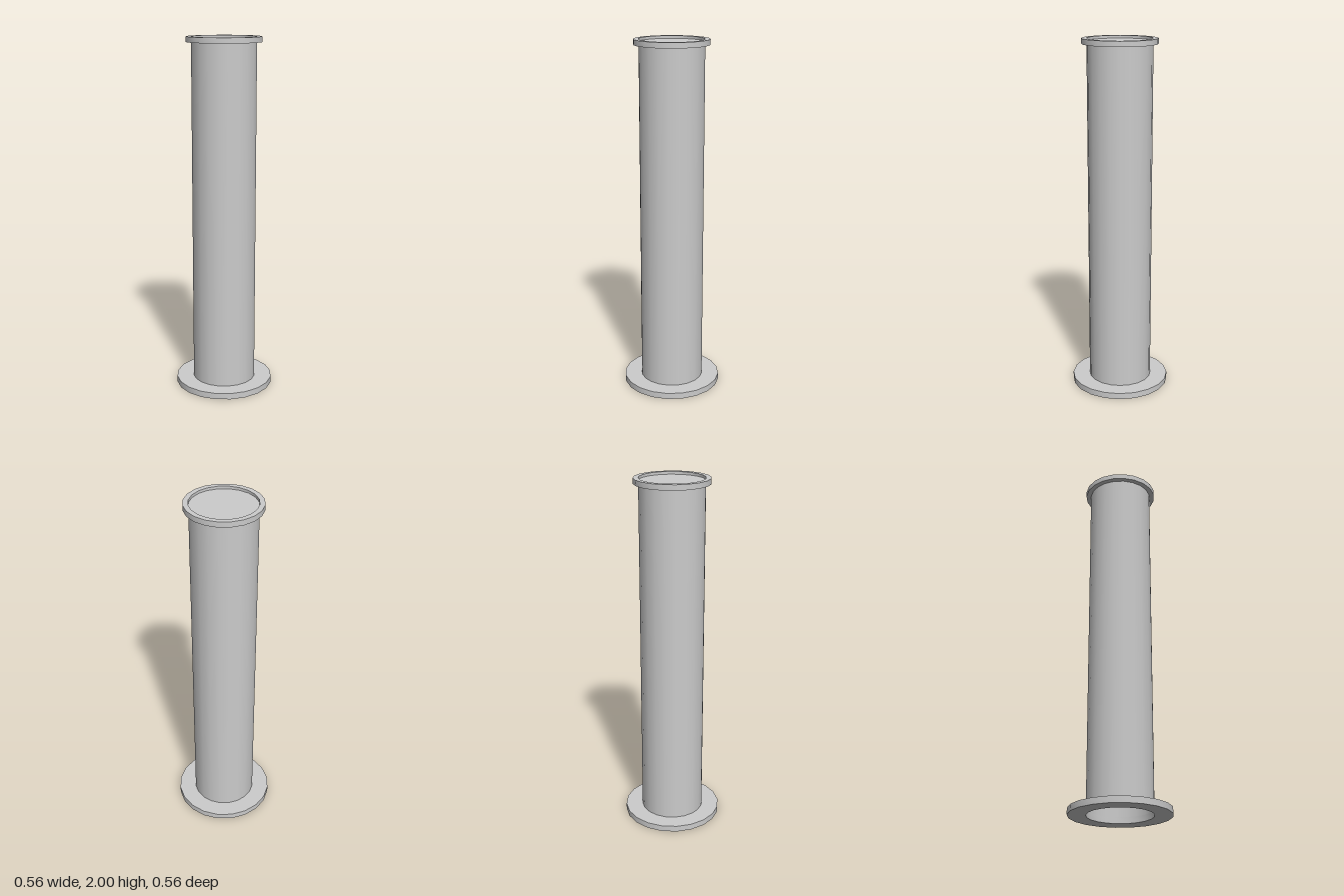
import * as THREE from 'three';
import { toCreasedNormals } from 'three/addons/utils/BufferGeometryUtils.js';

const SIDES = 20;
const BORE = 0.18;
const BASE_TOP = 0.035;
const RIM_BOTTOM = 1.97;
const HEIGHT = 2;

export function createModel() {
  const group = new THREE.Group();
  const material = new THREE.MeshStandardMaterial({ color: 0xcccccc });
  const thin = new THREE.MeshStandardMaterial({ color: 0xcccccc, side: THREE.DoubleSide });

  const add = (name, geometry, mat, y = 0) => {
    const mesh = new THREE.Mesh(geometry, mat);
    mesh.name = name;
    mesh.position.y = y;
    group.add(mesh);
    return mesh;
  };

  // Flat collar around the bore: a rectangle turned about the axis
  const collar = (radius, bottom, top) => {
    const profile = [
      [BORE, bottom], [radius, bottom], [radius, top], [BORE, top], [BORE, bottom],
    ].map(([x, y]) => new THREE.Vector2(x, y));
    return toCreasedNormals(new THREE.LatheGeometry(profile, SIDES), 0.6);
  };

  add('baseFlange', collar(0.278, 0, BASE_TOP), material);
  add('topRim', collar(0.208, RIM_BOTTOM, HEIGHT), material);

  // Thin-walled pipe, open at the bottom
  const length = RIM_BOTTOM - BASE_TOP;
  add('pipe', new THREE.CylinderGeometry(BORE, BORE, length, SIDES, 1, true), thin, BASE_TOP + length / 2);

  // Lid recessed inside the top rim
  const lid = new THREE.CircleGeometry(BORE, SIDES).rotateX(-Math.PI / 2);
  add('lid', lid, thin, 1.985);

  return group;
}
